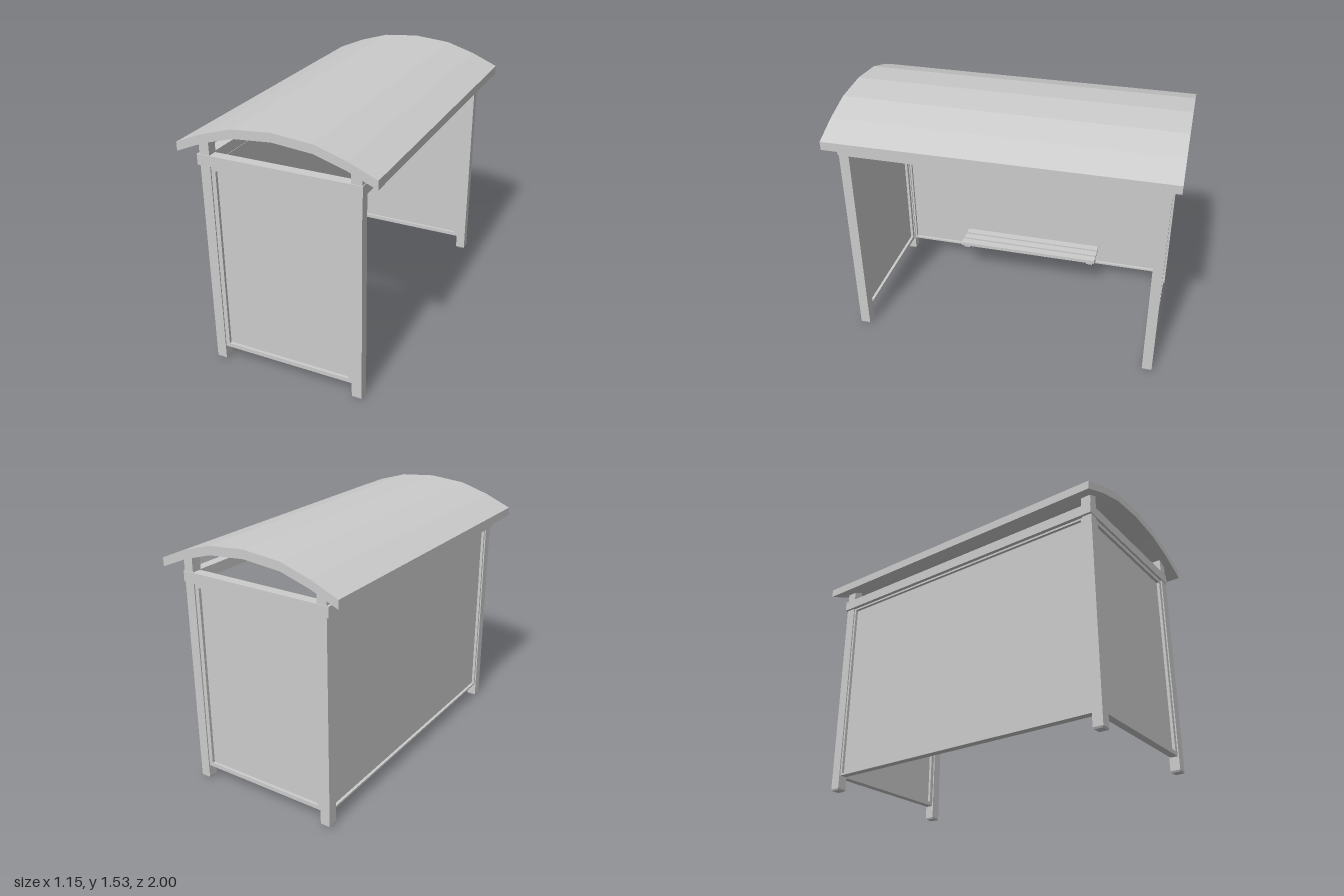
import * as THREE from 'three';

const material = new THREE.MeshStandardMaterial({ color: 0xcccccc, flatShading: true });

function add(parent, name, geometry, x = 0, y = 0, z = 0) {
  const mesh = new THREE.Mesh(geometry, material);
  mesh.name = name;
  mesh.position.set(x, y, z);
  parent.add(mesh);
  return mesh;
}

// Box given by its lower and upper corners
function addBox(parent, name, [x0, y0, z0], [x1, y1, z1]) {
  return add(parent, name, new THREE.BoxGeometry(x1 - x0, y1 - y0, z1 - z0),
    (x0 + x1) / 2, (y0 + y1) / 2, (z0 + z1) / 2);
}

// Rectangular frame with a thin pane set in its middle, facing z
function framedPanel(name, width, height, border, depth) {
  const panel = new THREE.Group();
  panel.name = name;
  const rect = (Kind, w, h) => new Kind([[-w, -h], [w, -h], [w, h], [-w, h]]
    .map(([x, y]) => new THREE.Vector2(x / 2, y / 2)));
  const shape = rect(THREE.Shape, width, height);
  shape.holes.push(rect(THREE.Path, width - 2 * border, height - 2 * border));
  add(panel, 'panelFrame', new THREE.ExtrudeGeometry(shape, { depth, bevelEnabled: false }), 0, 0, -depth / 2);
  add(panel, 'pane', new THREE.BoxGeometry(width - border, height - border, 0.01));
  return panel;
}

export function createModel() {
  const model = new THREE.Group();
  model.name = 'shelter';

  // Arched roof of six flat strips
  const half = [[0.575, 1.385], [0.41, 1.455], [0.23, 1.51], [0, 1.53]];
  const arch = [...half, ...half.slice(0, -1).reverse().map(([x, y]) => [-x, y])];
  const outline = [...arch, ...arch.slice().reverse().map(([x, y]) => [x, y - 0.051])];
  const roofShape = new THREE.Shape(outline.map(([x, y]) => new THREE.Vector2(x, y)));
  add(model, 'roof', new THREE.ExtrudeGeometry(roofShape, { depth: 2, bevelEnabled: false }), 0, 0, -1);

  // Corner posts with tapered feet
  for (const x of [-0.44, 0.44]) {
    for (const z of [-0.92, 0.92]) {
      addBox(model, 'post', [x - 0.03, 0.01, z - 0.03], [x + 0.03, 1.41, z + 0.03]);
      const foot = new THREE.CylinderGeometry(0.03 * Math.SQRT2, 0.025 * Math.SQRT2, 0.01, 4);
      add(model, 'foot', foot.rotateY(Math.PI / 4), x, 0.005, z);
    }
  }

  // Ring of beams around the post tops
  addBox(model, 'backBeam', [-0.485, 1.253, -0.955], [-0.42, 1.315, 0.955]);
  addBox(model, 'openSideBeam', [0.415, 1.253, -0.955], [0.475, 1.315, 0.955]);
  for (const s of [-1, 1]) {
    add(model, 'endBeam', new THREE.BoxGeometry(0.84, 0.062, 0.06), -0.002, 1.284, s * 0.925);
  }

  // End walls and the long back wall
  for (const s of [-1, 1]) {
    const end = framedPanel('endWall', 0.82, 1.163, 0.025, 0.045);
    end.position.set(0, 0.6715, s * 0.92);
    model.add(end);
  }
  const back = framedPanel('backWall', 1.78, 1.163, 0.012, 0.045);
  back.rotation.y = Math.PI / 2;
  back.position.set(-0.44, 0.6715, 0);
  model.add(back);

  // Slatted bench on two wall brackets
  const bench = new THREE.Group();
  bench.name = 'bench';
  model.add(bench);
  for (let i = 0; i < 3; i++) {
    const x = -0.41 + i * 0.064;
    addBox(bench, 'slat', [x, 0.22, -0.47], [x + 0.05, 0.243, 0.47]);
  }
  const strut = new THREE.Shape([[-0.43, 0.1], [-0.415, 0.1], [-0.26, 0.207], [-0.29, 0.207], [-0.43, 0.115]]
    .map(([x, y]) => new THREE.Vector2(x, y)));
  for (const z of [-0.435, 0.435]) {
    addBox(bench, 'bracketArm', [-0.435, 0.204, z - 0.02], [-0.24, 0.22, z + 0.02]);
    add(bench, 'bracketStrut', new THREE.ExtrudeGeometry(strut, { depth: 0.04, bevelEnabled: false }), 0, 0, z - 0.02);
  }

  return model;
}
